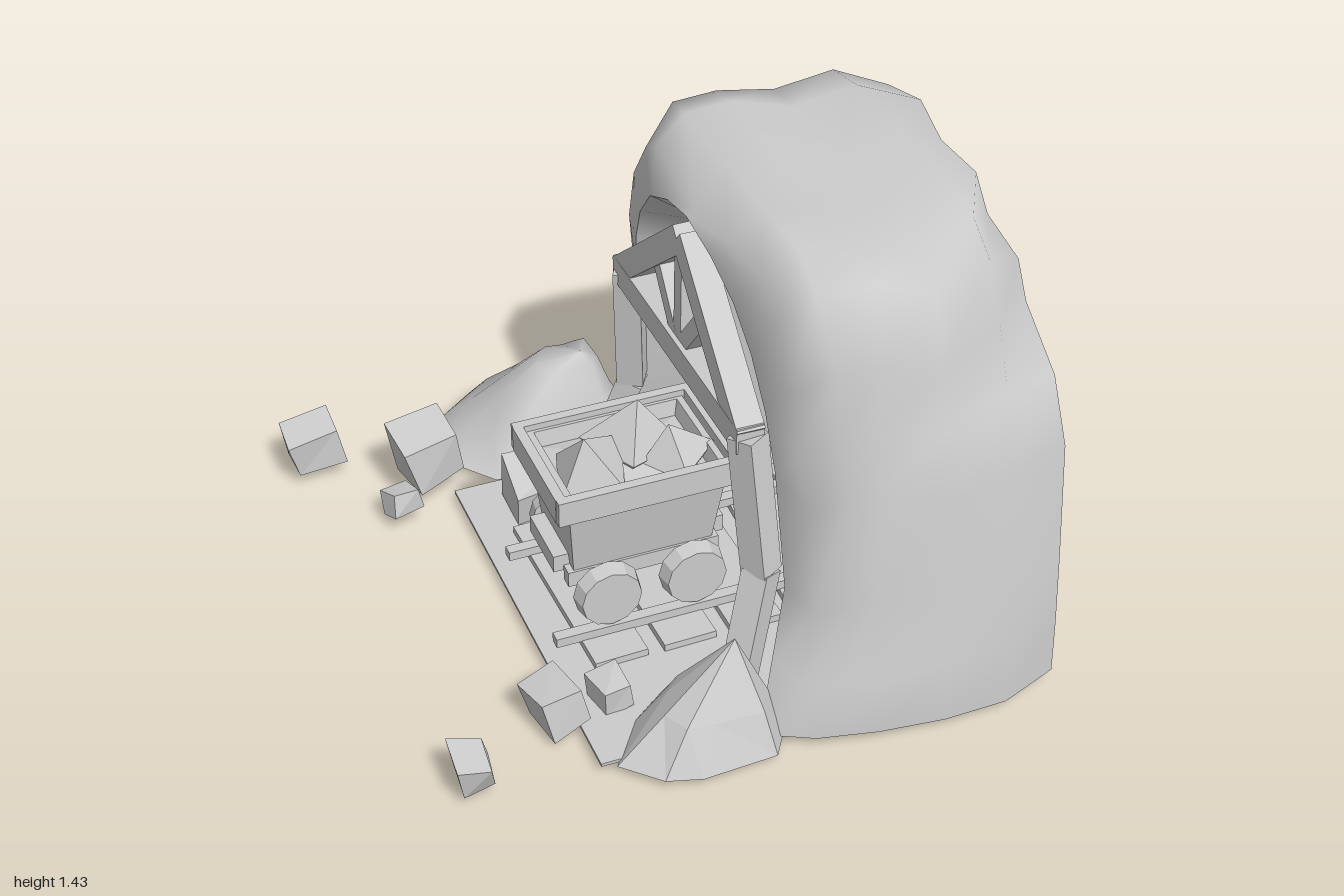
import * as THREE from 'three';

const smooth = new THREE.MeshStandardMaterial({ color: 0xcccccc, side: THREE.DoubleSide });
const flat = new THREE.MeshStandardMaterial({ color: 0xcccccc, side: THREE.DoubleSide, flatShading: true });
const V = (x, y, z) => new THREE.Vector3(x, y, z);

// repeatable value in -1..1
const rnd = (n) => { const s = Math.sin(n * 127.1 + 11.7) * 43758.5453; return (s - Math.floor(s)) * 2 - 1; };

function add(parent, name, geo, mat = flat) {
  const m = new THREE.Mesh(geo, mat);
  m.name = name;
  parent.add(m);
  return m;
}

// skin over rings of equal point count
function loft(rings, closed = false) {
  const n = rings[0].length, pos = [], idx = [];
  rings.forEach((r) => r.forEach((p) => pos.push(p.x, p.y, p.z)));
  for (let j = 0; j < rings.length - 1; j++) {
    for (let i = 0; i < (closed ? n : n - 1); i++) {
      const k = (i + 1) % n, a = j * n + i, b = j * n + k, c = b + n, d = a + n;
      idx.push(a, c, b, a, d, c);
    }
  }
  const g = new THREE.BufferGeometry();
  g.setAttribute('position', new THREE.Float32BufferAttribute(pos, 3));
  g.setIndex(idx);
  g.computeVertexNormals();
  return g;
}

function box(parent, name, w, h, d, x, y, z) {
  const m = add(parent, name, new THREE.BoxGeometry(w, h, d));
  m.position.set(x, y, z);
  return m;
}

// square timber between two points
function beam(parent, name, a, b, w) {
  const m = add(parent, name, new THREE.BoxGeometry(w, w, a.distanceTo(b)));
  m.position.copy(a).add(b).multiplyScalar(0.5);
  m.lookAt(b);
}

// box with shifted corners
function boulder(parent, name, w, h, d, x, y, z, seed) {
  const g = new THREE.BoxGeometry(w, h, d), p = g.attributes.position;
  for (let i = 0; i < p.count; i++) {
    const c = (p.getX(i) > 0 ? 1 : 0) + (p.getY(i) > 0 ? 2 : 0) + (p.getZ(i) > 0 ? 4 : 0) + seed * 8;
    p.setXYZ(i, p.getX(i) * (0.85 + 0.2 * rnd(c)), p.getY(i) * (0.85 + 0.2 * rnd(c + 0.3)), p.getZ(i) * (0.85 + 0.2 * rnd(c + 0.6)));
  }
  const m = add(parent, name, g);
  m.position.set(x, y, z);
  m.rotation.set(rnd(seed) * 0.25, rnd(seed + 5) * 0.2, rnd(seed + 9) * 0.25);
}

// heap rising from a ground outline [x, z] to a peak
function heap(parent, name, outline, peak, levels, mat) {
  const rings = levels.map(([k, h], j) => outline.map(([x, z], i) => {
    const s = k * (1 + (j && k ? 0.1 * rnd(i + j * 20) : 0));
    return V(peak.x + (x - peak.x) * s, 0.04 + (peak.y - 0.04) * h, peak.z + (z - peak.z) * s);
  }));
  add(parent, name, loft(rings, true), mat);
}

function buildCave(root) {
  const cave = new THREE.Group();
  cave.name = 'cave';
  root.add(cave);
  // cross-sections [z, y], from the -z foot over the top to the +z foot
  const hill = [[-0.68, 0.05], [-0.53, 0.44], [-0.51, 0.8], [-0.5, 1.0], [-0.4, 1.22], [-0.25, 1.41], [-0.15, 1.44], [0.14, 1.42],
    [0.4, 1.42], [0.62, 1.42], [0.73, 1.39], [0.82, 1.18], [0.8, 0.96], [0.87, 0.8], [0.87, 0.44], [0.94, 0.24], [0.94, 0.05]];
  const rear = [[-0.64, 0.05], [-0.53, 0.44], [-0.52, 0.8], [-0.52, 0.98], [-0.45, 1.15], [-0.3, 1.29], [-0.1, 1.35], [0.14, 1.37],
    [0.34, 1.36], [0.42, 1.3], [0.5, 1.2], [0.56, 1.08], [0.74, 0.97], [0.83, 0.8], [0.87, 0.44], [0.89, 0.24], [0.9, 0.05]];
  const mouth = [[-0.46, 0.05], [-0.35, 0.43], [-0.33, 0.7], [-0.31, 0.85], [-0.28, 0.98], [-0.22, 1.1], [-0.12, 1.21], [0.02, 1.28],
    [0.16, 1.31], [0.32, 1.28], [0.46, 1.22], [0.56, 1.12], [0.63, 0.98], [0.67, 0.8], [0.7, 0.43], [0.76, 0.24], [0.82, 0.05]];
  const bore = [[-0.34, 0.05], [-0.33, 0.28], [-0.32, 0.45], [-0.3, 0.6], [-0.28, 0.74], [-0.26, 0.86], [-0.14, 0.9], [0.04, 0.93],
    [0.16, 0.96], [0.27, 0.98], [0.38, 0.91], [0.45, 0.83], [0.46, 0.7], [0.48, 0.56], [0.51, 0.42], [0.49, 0.24], [0.47, 0.05]];
  const lipX = (y) => (y < 0.45 ? 0.01 + 0.12 * (y - 0.05) / 0.4 : 0.13 - 0.08 * (y - 0.45) / 0.85);
  const lip = mouth.map(([z, y]) => V(lipX(y), y, z));

  // outer hill: [x, width, height, share of rear section]
  const outer = [[0.87, 1, 1, 1], [0.69, 1.06, 1.02, 0.45], [0.5, 1.05, 0.975, 0.2], [0.31, 1.01, 1, 0], [0.18, 0.96, 1, 0], [0.09, 0.9, 0.94, 0]]
    .map(([x, w, h, t], j) => hill.map(([hz, hy], i) => {
      const z = hz + (rear[i][0] - hz) * t, y = hy + (rear[i][1] - hy) * t;
      const n = 0.02 * rnd(i * 3 + j * 17);
      const notch = j === 0 && i > 6 && i < 10 ? 0.06 : 0;
      const front = j > 3 ? lipX(y) - 0.05 : 0;
      return V(x - notch + front, y < 0.1 ? y : y * h + n, 0.17 + (z - 0.17) * w);
    }));
  add(cave, 'hillShell', loft([...outer, lip]), smooth);

  // tunnel lining, narrowing to a rounded end wall
  const mix = (t, x) => mouth.map(([z, y], i) => V(x, y + (bore[i][1] - y) * t, z + (bore[i][0] - z) * t));
  const shrink = (k, x) => bore.map(([z, y]) =>
    V(x - 0.1 * k * Math.max(0, 1 - y / 0.5), y < 0.1 && k > 0 ? y : 0.5 + (y - 0.5) * k, 0.1 + (z - 0.1) * k));
  add(cave, 'tunnelLining', loft([lip, mix(0.45, 0.26), mix(0.9, 0.48), shrink(1, 0.72), shrink(0.93, 0.79), shrink(0.6, 0.82), shrink(0, 0.82)]), smooth);
}

function buildFrame(root) {
  const frame = new THREE.Group();
  frame.name = 'timberFrame';
  root.add(frame);
  const mid = 0.14, apex = V(0.07, 1.23, mid), king = V(0.06, 0.87, mid);
  for (const s of [-1, 1]) {
    const foot = V(-0.02, 0.04, mid + s * 0.56), knee = V(0.09, 0.44, mid + s * 0.48), head = V(0.06, 0.87, mid + s * 0.43);
    beam(frame, 'lowerPost', foot, knee, 0.08);
    beam(frame, 'upperPost', knee, head, 0.08);
    beam(frame, 'rafter', head, apex, 0.08);
    beam(frame, 'strut', king, V(0.06, 1.08, mid + s * 0.17), 0.05);
  }
  beam(frame, 'crossBeam', V(0.06, 0.87, mid - 0.45), V(0.06, 0.87, mid + 0.45), 0.08);
  beam(frame, 'kingPost', king, V(0.061, 1.2, mid), 0.05);
}

function buildTrack(root) {
  const track = new THREE.Group();
  track.name = 'track';
  root.add(track);
  for (const z of [-0.1, 0.31]) box(track, 'rail', 1.06, 0.03, 0.035, 0.13, 0.085, z);
  for (let i = 0; i < 5; i++) {
    const t = box(track, 'sleeper', 0.16, 0.025, 0.66, -0.25 + i * 0.21, 0.06, 0.1);
    t.rotation.y = 0.06 * rnd(i);
  }
}

function buildCart(root) {
  const cart = new THREE.Group();
  cart.name = 'mineCart';
  cart.position.set(-0.1, 0, 0.1);
  root.add(cart);
  // tub tapering to its floor, filled to near the brim
  const ring = (x, y, z) => [V(-x, y, -z), V(x, y, -z), V(x, y, z), V(-x, y, z)];
  add(cart, 'tub', loft([ring(0, 0.24, 0), ring(0.21, 0.24, 0.13), ring(0.24, 0.54, 0.18), ring(0.22, 0.54, 0.16), ring(0.21, 0.49, 0.15), ring(0, 0.52, 0)], true));
  for (const s of [-1, 1]) {
    box(cart, 'rimSide', 0.55, 0.08, 0.03, 0, 0.52, s * 0.185);
    box(cart, 'rimEnd', 0.03, 0.08, 0.36, s * 0.262, 0.52, 0);
    box(cart, 'bumper', 0.05, 0.055, 0.2, s * 0.235, 0.265, 0);
    box(cart, 'sideSill', 0.46, 0.05, 0.04, 0, 0.23, s * 0.12);
    const axle = add(cart, 'axle', new THREE.CylinderGeometry(0.02, 0.02, 0.4, 8));
    axle.rotation.x = Math.PI / 2;
    axle.position.set(s * 0.13, 0.195, 0);
    for (const e of [-1, 1]) {
      const w = add(cart, 'wheel', new THREE.CylinderGeometry(0.09, 0.1, 0.05, 12));
      w.rotation.x = e * Math.PI / 2;
      w.position.set(s * 0.13, 0.195, e * 0.2);
    }
  }
  // ore chunks
  [[-0.12, 0.51, 0.03, 0.15], [0.03, 0.53, -0.04, 0.15], [0.13, 0.51, 0.05, 0.12]].forEach(([x, y, z, r], i) => {
    const o = add(cart, 'ore', new THREE.OctahedronGeometry(r));
    o.scale.set(1, 1, 0.8);
    o.position.set(x, y, z);
    o.rotation.set(rnd(i) * 0.2, rnd(i + 4) * 0.6, rnd(i + 8) * 0.25);
  });
}

export function createModel() {
  const root = new THREE.Group();
  root.name = 'mineEntrance';
  box(root, 'ground', 1.31, 0.01, 1.27, 0.215, 0.045, 0.15);
  buildCave(root);
  buildFrame(root);
  buildTrack(root);
  buildCart(root);

  // rubble heaps either side of the mouth
  heap(root, 'smoothHeap', [[-0.45, -0.72], [-0.35, -0.88], [-0.23, -0.97], [-0.05, -0.95], [0.1, -1], [0.21, -1], [0.21, -0.62],
    [0.12, -0.5], [-0.1, -0.48], [-0.3, -0.5], [-0.38, -0.6]], V(0.03, 0.36, -0.63),
  [[1, 0], [0.8, 0.25], [0.55, 0.58], [0.3, 0.9], [0, 1]], smooth);
  heap(root, 'craggyHeap', [[-0.4, 0.8], [-0.3, 0.66], [-0.22, 0.6], [-0.08, 0.68], [0.04, 0.54], [0.1, 0.8], [0.02, 0.92], [-0.2, 0.93], [-0.3, 0.9]],
    V(-0.05, 0.36, 0.77), [[1, 0], [0.65, 0.4], [0, 1]], flat);

  // loose boulders: size, position
  [[0.16, 0.14, 0.14, -0.8, 0.13, -0.78], [0.21, 0.22, 0.18, -0.5, 0.17, -0.56], [0.1, 0.09, 0.1, -0.62, 0.1, -0.44],
    [0.11, 0.11, 0.14, -0.78, 0.11, 0.72], [0.16, 0.15, 0.17, -0.49, 0.1, 0.55], [0.1, 0.1, 0.12, -0.33, 0.09, 0.56],
    [0.34, 0.16, 0.2, -0.18, 0.11, -0.34], [0.12, 0.2, 0.24, 0.0, 0.14, -0.4]]
    .forEach((b, i) => boulder(root, 'boulder', ...b, i + 1));
  return root;
}
